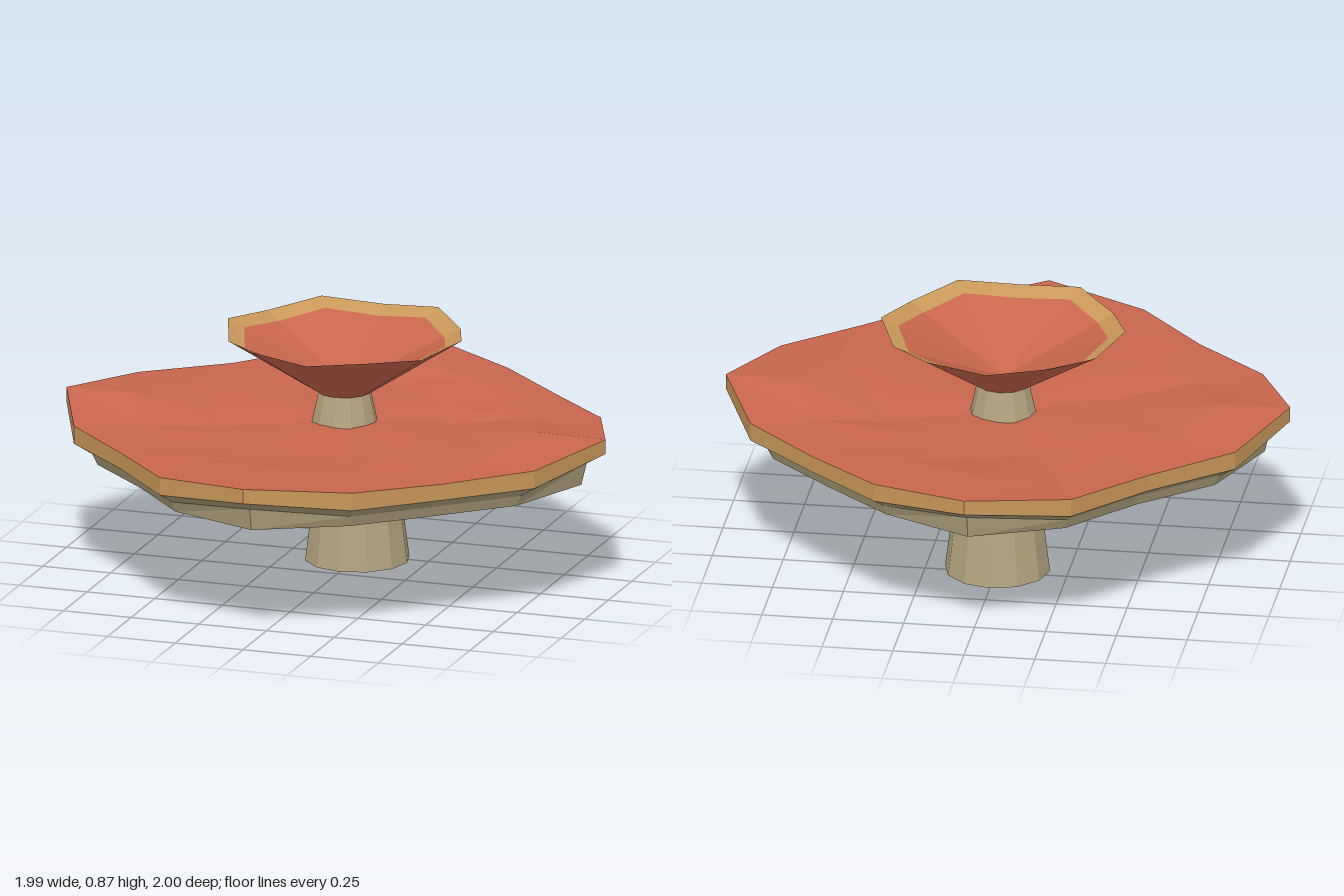
import * as THREE from 'three';

const material = (name, color) => Object.assign(new THREE.MeshStandardMaterial({ color, flatShading: true }), { name });

// One closed ring of points; r and y may be numbers or functions of the point index.
function ring(sides, r, y, z = 0) {
  const at = (v, k) => (typeof v === 'function' ? v(k) : v);
  return Array.from({ length: sides }, (_, k) => {
    const a = (k / sides) * Math.PI * 2;
    return new THREE.Vector3(at(r, k) * Math.cos(a), at(y, k), z + at(r, k) * Math.sin(a));
  });
}

// Skin neighbouring rings with flat facets (upward order faces outward).
function loft(name, mat, rings) {
  const pos = [];
  const tri = (a, b, c) => {
    if (a.distanceTo(b) < 1e-6 || b.distanceTo(c) < 1e-6 || c.distanceTo(a) < 1e-6) return;
    for (const p of [a, b, c]) pos.push(p.x, p.y, p.z);
  };
  for (let i = 0; i < rings.length - 1; i++) {
    const lo = rings[i], hi = rings[i + 1], n = lo.length;
    for (let k = 0; k < n; k++) {
      const m = (k + 1) % n;
      tri(lo[k], hi[k], lo[m]);
      tri(lo[m], hi[k], hi[m]);
    }
  }
  const geo = new THREE.BufferGeometry();
  geo.setAttribute('position', new THREE.Float32BufferAttribute(pos, 3));
  geo.computeVertexNormals();
  const mesh = new THREE.Mesh(geo, mat);
  mesh.name = name;
  return mesh;
}

export function createModel() {
  const red = material('capRed', 0xc9664e);
  const gold = material('rimGold', 0xc9985a);
  const beige = material('stemBeige', 0xb3a37e);
  const model = new THREE.Group();
  model.name = 'tieredMushroom';

  // Lower stem flaring into the underside of the big cap
  model.add(loft('lowerStem', beige, [
    ring(12, 0, 0, -0.21), ring(12, 0.185, 0, -0.21),
    ring(12, 0.147, 0.3, -0.207), ring(12, 0.36, 0.412, -0.12),
  ]));

  // Big cap: irregular sixteen-sided outline, raised at the four corners
  const outline = [0.99, 0.92, 0.84, 0.89, 1, 0.93, 0.84, 0.92, 1, 0.93, 0.835, 0.93, 1, 0.895, 0.845, 0.92];
  const scaled = (s) => (k) => outline[k] * s;
  const corner = (k) => k % 4 === 0;
  const rimTop = (k) => (corner(k) ? 0.582 : k % 2 ? 0.552 : 0.546);
  const rimBottom = (k) => (corner(k) ? 0.53 : 0.488);
  const bottomRing = ring(16, scaled(0.91), 0.41);
  const rimLow = ring(16, outlineAt, rimBottom), rimHigh = ring(16, outlineAt, rimTop);
  function outlineAt(k) { return outline[k]; }

  model.add(loft('capUnderside', beige, [
    ring(16, 0, 0.41), bottomRing,
    ring(16, scaled(0.93), (k) => rimBottom(k) - 0.039), rimLow,
  ]));
  model.add(loft('capRim', gold, [rimLow, rimHigh]));

  // Rippled, slightly dished top
  model.add(loft('capTop', red, [
    rimHigh,
    ring(16, scaled(0.75), (k) => (corner(k) ? 0.583 : k % 4 === 1 ? 0.56 : 0.545), -0.01),
    ring(16, scaled(0.48), (k) => (k % 4 === 3 ? 0.53 : k % 2 ? 0.552 : 0.545), -0.04),
    ring(16, 0, 0.54, -0.08),
  ]));

  // Upper stem
  model.add(loft('upperStem', beige, [
    ring(12, 0.12, 0.52, -0.075), ring(12, 0.09, 0.655, -0.075),
  ]));

  // Small bowl-shaped cap with a scalloped edge
  const bowlR = (s) => (k) => (k % 2 ? 0.412 : 0.431) * s;
  const bowlY = (d) => (k) => (k % 2 ? 0.845 : 0.865) - d;
  const edge = ring(12, bowlR(1), bowlY(0), -0.078);
  const lip = ring(12, bowlR(0.86), bowlY(0.027), -0.078);
  model.add(loft('bowlOutside', red, [
    ring(12, 0, 0.645, -0.075), ring(12, 0.095, 0.645, -0.075), edge,
  ]));
  model.add(loft('bowlRim', gold, [edge, lip]));
  model.add(loft('bowlInside', red, [lip, ring(12, 0, 0.67, -0.078)]));

  return model;
}
